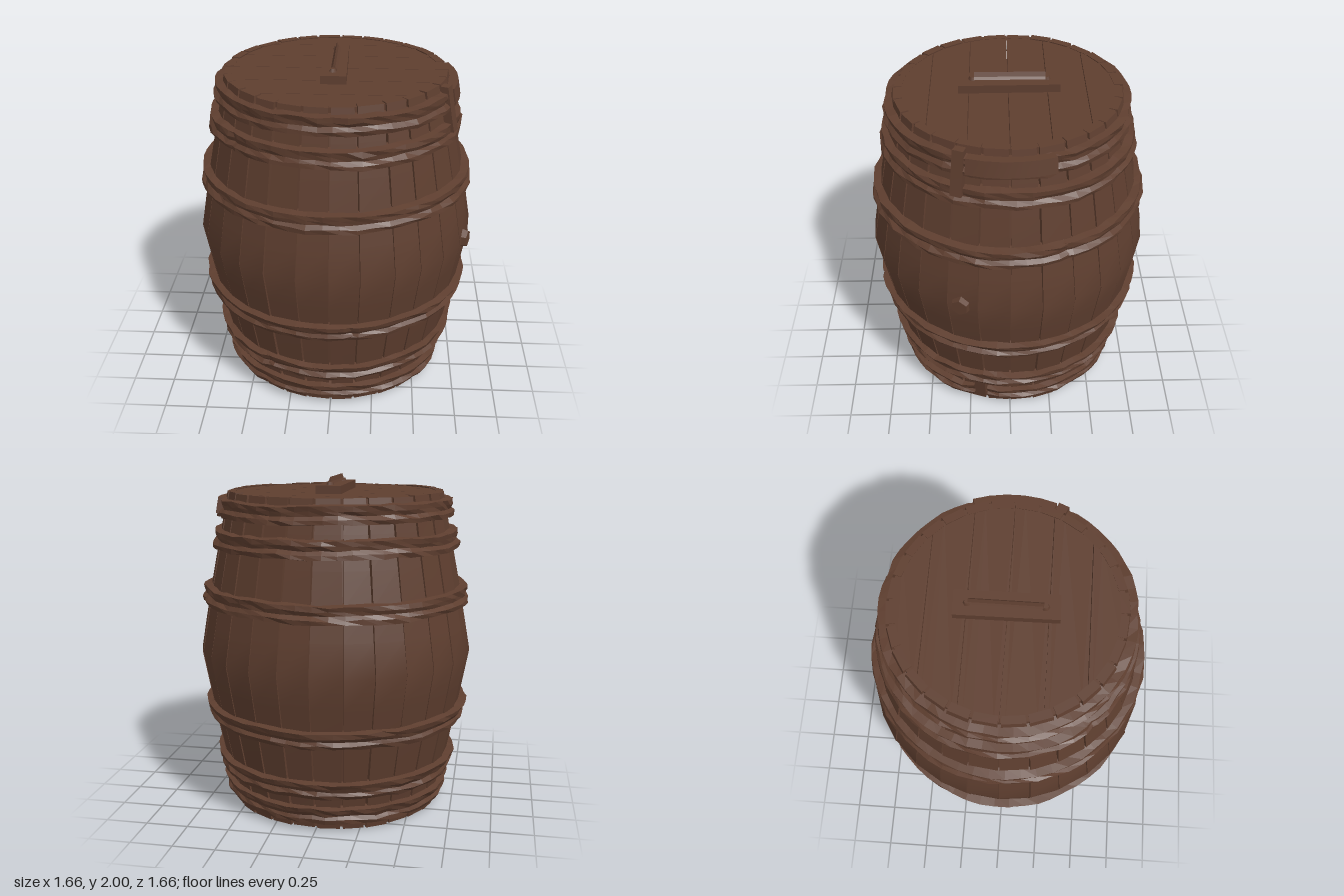
import * as THREE from 'three';

const wood = new THREE.MeshStandardMaterial({ color: 0x5e3e2f });
wood.name = 'brownWood';

const STAVES = 28;
const MID = 0.96;

// Seeded random in -1..1
let seed = 7;
function rnd() {
  seed = (seed * 16807) % 2147483647;
  return (seed / 2147483647) * 2 - 1;
}

// Barrel radius at a height, symmetric about the belly
const BULGE = [[0, 0.648], [0.15, 0.675], [0.35, 0.717], [0.6, 0.767], [0.8, 0.803], [0.96, 0.832]];
function radiusAt(y) {
  const h = Math.max(0, MID - Math.abs(y - MID));
  for (let i = 1; i < BULGE.length; i++) {
    const [y0, r0] = BULGE[i - 1], [y1, r1] = BULGE[i];
    if (h <= y1) return r0 + (r1 - r0) * (h - y0) / (y1 - y0);
  }
  return 0.832;
}

function add(parent, name, geometry) {
  const mesh = new THREE.Mesh(geometry, wood);
  mesh.name = name;
  parent.add(mesh);
  return mesh;
}

// Bends a unit box around the barrel: x spans the angle, y the height, z the thickness
function bentBox(a0, a1, y0, y1, inner, outer, nx, ny, taper) {
  const g = new THREE.BoxGeometry(1, 1, 1, nx, ny, 1);
  const p = g.attributes.position;
  for (let i = 0; i < p.count; i++) {
    const y = y0 + (p.getY(i) + 0.5) * (y1 - y0);
    const narrow = 1 - taper * Math.pow(Math.abs(y - MID) / MID, 1.3);
    const a = (a0 + a1) / 2 + p.getX(i) * (a1 - a0) * narrow;
    const r = radiusAt(y) + (p.getZ(i) > 0 ? outer : inner);
    p.setXYZ(i, Math.sin(a) * r, y, Math.cos(a) * r);
  }
  g.computeVertexNormals();
  return g;
}

// Rough strap with two ridges; its far end rides over its near end
function hoop(y, start, sweep, rise) {
  const profile = [[-0.056, -0.02], [-0.05, 0.026], [-0.024, 0.034], [-0.004, 0.016],
    [0.02, 0.028], [0.048, 0.034], [0.056, -0.02]];
  const n = profile.length, rings = 56;
  const pts = profile.map(([dy, dr]) => new THREE.Vector2(radiusAt(y + dy) + dr, y + dy));
  const g = new THREE.LatheGeometry(pts, rings, start, sweep);
  const p = g.attributes.position;
  let shift = 0;
  for (let i = 0; i <= rings; i++) {
    const a = start + sweep * i / rings;
    const end = i === 0 || i === rings;
    shift = shift * 0.7 + rnd() * 0.004;
    for (let j = 0; j < n; j++) {
      const k = i * n + j;
      const ridge = j > 0 && j < n - 1;
      const dr = ridge ? (end ? -0.015 : rnd() * 0.007 + rise * i / rings) : 0;
      const r = Math.hypot(p.getX(k), p.getZ(k)) + dr;
      p.setXYZ(k, Math.sin(a) * r, p.getY(k) + shift + rnd() * 0.004, Math.cos(a) * r);
    }
  }
  const flat = g.toNonIndexed();
  flat.computeVertexNormals();
  return flat;
}

// Round board cut into planks that run along x
function plankDisc(parent, name, radius, y, thickness) {
  const cuts = [-radius, -0.44, -0.22, 0, 0.22, 0.44, radius];
  const group = new THREE.Group();
  group.name = name;
  for (let i = 0; i < cuts.length - 1; i++) {
    const z0 = cuts[i] + 0.002, z1 = cuts[i + 1] - 0.002;
    const shape = new THREE.Shape();
    const edge = [];
    for (let k = 0; k <= 8; k++) {
      const z = z0 + (z1 - z0) * k / 8;
      edge.push(new THREE.Vector2(Math.sqrt(Math.max(0, radius * radius - z * z)), z));
    }
    const mirrored = edge.map(v => new THREE.Vector2(-v.x, v.y)).reverse();
    shape.setFromPoints([...edge, ...mirrored]);
    const g = new THREE.ExtrudeGeometry(shape, { depth: thickness, bevelEnabled: false });
    g.rotateX(Math.PI / 2);
    add(group, 'plank', g).position.y = y;
  }
  parent.add(group);
}

export function createModel() {
  seed = 7;
  const barrel = new THREE.Group();
  barrel.name = 'barrel';

  // Staves, slightly uneven in width and length
  const staves = new THREE.Group();
  staves.name = 'staves';
  const step = Math.PI * 2 / STAVES;
  const seams = [];
  for (let i = 0; i < STAVES; i++) seams.push(i * step + (i % 7 ? rnd() * 0.012 : 0));
  seams.push(Math.PI * 2);
  for (let i = 0; i < STAVES; i++) {
    const lift = rnd() * 0.003;
    add(staves, 'stave', bentBox(seams[i] + 0.002, seams[i + 1] - 0.002,
      0.007 + rnd() * 0.007, 1.912 + rnd() * 0.004, -0.05, lift - 0.002, 1, 10, 0.1));
  }
  barrel.add(staves);

  // Inner wall that closes the gaps between the staves
  const wall = [0.04, 0.35, 0.65, 0.96, 1.27, 1.57, 1.87]
    .map(y => new THREE.Vector2(radiusAt(y) - 0.04, y));
  add(barrel, 'innerWall', new THREE.LatheGeometry(wall, STAVES));

  // Top and bottom boards
  plankDisc(barrel, 'lid', 0.635, 1.908, 0.04);
  plankDisc(barrel, 'bottom', 0.635, 0.055, 0.04);

  // Hoops: height, start angle, sweep, rise of the overlapping end
  const full = Math.PI * 2 + 0.12;
  const hoops = [
    [1.82, 1.85, full, 0.008], [1.645, -0.9, full, 0.008], [1.305, 1.9, full, 0.008],
    [0.595, 0.1, full, 0.008], [0.27, -0.6, full, 0.008], [0.1, 1.36, Math.PI * 2 - 0.12, 0]
  ];
  for (const h of hoops) add(barrel, 'hoop', hoop(...h));

  // Loose strap end and upright patch on the left side
  add(barrel, 'strapEnd', bentBox(1.24, 1.92, 1.785, 1.875, 0, 0.05, 5, 1, 0));
  add(barrel, 'strapPatch', bentBox(1.13, 1.22, 1.65, 1.905, 0, 0.046, 1, 3, 0));

  // Bung on the left side
  const bungAngle = Math.atan2(0.78, 0.28);
  const bung = add(barrel, 'bung', new THREE.CylinderGeometry(0.05, 0.065, 0.06, 6).toNonIndexed());
  bung.geometry.computeVertexNormals();
  bung.rotation.set(Math.PI / 2, 0, -bungAngle, 'YXZ');
  bung.rotation.set(Math.PI / 2, bungAngle, 0, 'YXZ');
  bung.position.set(Math.sin(bungAngle) * 0.82, 0.96, Math.cos(bungAngle) * 0.82);

  // Lid handle: base plate, end knobs and a ridged grip
  const handle = new THREE.Group();
  handle.name = 'handle';
  const base = add(handle, 'handleBase', new THREE.BoxGeometry(0.145, 0.05, 0.57));
  base.position.set(-0.004, 1.93, -0.005);
  base.rotation.y = 0.012;
  for (const z of [-0.215, 0.2]) {
    const knob = add(handle, 'handleKnob', new THREE.CylinderGeometry(0.016, 0.024, 0.02, 6));
    knob.position.set(-0.006, 1.963, z);
  }
  const ridge = new THREE.Shape();
  ridge.setFromPoints([[-0.02, 1.962], [0.018, 1.962], [0.006, 1.975], [-0.004, 2], [-0.012, 1.975]]
    .map(([x, y]) => new THREE.Vector2(x, y)));
  const grip = new THREE.ExtrudeGeometry(ridge, { depth: 0.4, bevelEnabled: false });
  add(handle, 'handleGrip', grip).position.z = -0.21;
  barrel.add(handle);

  return barrel;
}
